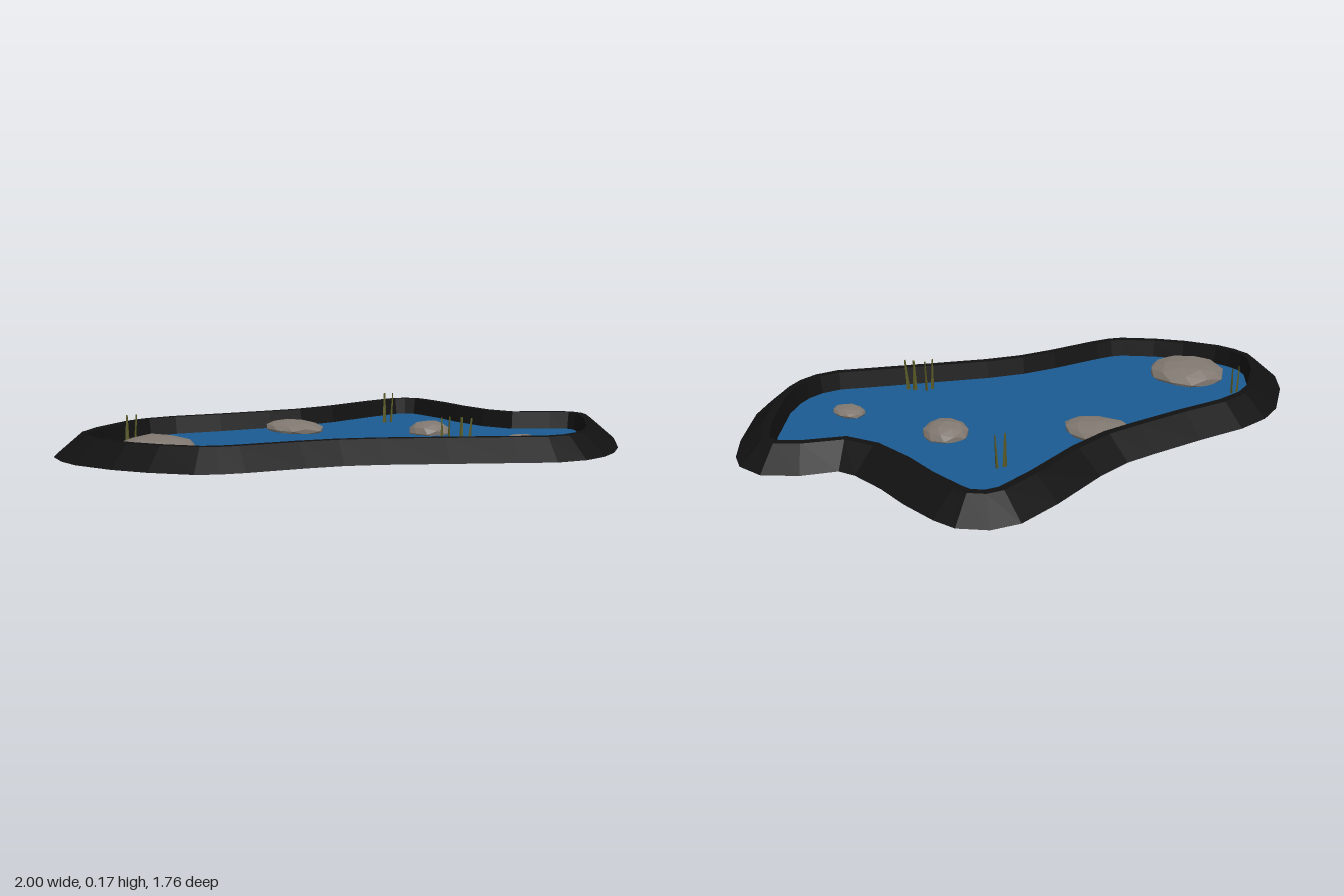
import * as THREE from 'three';

// Shoreline outline as x, z pairs
const OUTLINE = [
  -0.54, -0.88, -0.42, -0.88, -0.28, -0.84, -0.10, -0.75, 0.10, -0.66, 0.22, -0.61,
  0.37, -0.58, 0.62, -0.56, 0.80, -0.53, 0.89, -0.47, 0.94, -0.37, 0.935, -0.28,
  0.90, -0.13, 0.855, 0.0, 0.825, 0.14, 0.83, 0.21, 0.93, 0.30, 1.0, 0.42,
  0.99, 0.53, 0.94, 0.60, 0.83, 0.69, 0.62, 0.82, 0.50, 0.865, 0.40, 0.88,
  0.29, 0.865, 0.18, 0.81, 0.08, 0.71, -0.10, 0.53, -0.27, 0.36, -0.38, 0.27,
  -0.50, 0.20, -0.70, 0.10, -0.78, 0.05, -0.84, -0.01, -0.92, -0.16, -0.97, -0.30,
  -1.0, -0.47, -0.99, -0.57, -0.955, -0.67, -0.88, -0.75, -0.75, -0.82,
];
// Bank cross-section: [inset from shoreline, height]
const SECTION = [[0, 0.035], [0.095, 0.115], [0.125, 0.115], [0.14, 0.035]];
const WATER_Y = 0.045;

const outline = [];
for (let i = 0; i < OUTLINE.length; i += 2) outline.push(new THREE.Vector2(OUTLINE[i], OUTLINE[i + 1]));

// Move the outline inwards along its averaged normals
function inset(distance) {
  const n = outline.length;
  return outline.map((p, i) => {
    const a = p.clone().sub(outline[(i + n - 1) % n]).normalize();
    const b = outline[(i + 1) % n].clone().sub(p).normalize();
    const d = a.add(b).normalize();
    return new THREE.Vector2(p.x - d.y * distance, p.y + d.x * distance);
  });
}

function bankGeometry() {
  const rings = SECTION.map(([d]) => inset(d));
  const n = outline.length, m = SECTION.length;
  const positions = [], index = [];
  rings.forEach((ring, k) => ring.forEach((p) => positions.push(p.x, SECTION[k][1], p.y)));
  for (let k = 0; k < m; k++) {
    for (let i = 0; i < n; i++) {
      const j = (i + 1) % n, l = (k + 1) % m;
      const a = k * n + i, b = k * n + j, c = l * n + j, d = l * n + i;
      index.push(a, d, c, a, c, b);
    }
  }
  const g = new THREE.BufferGeometry();
  g.setAttribute('position', new THREE.Float32BufferAttribute(positions, 3));
  g.setIndex(index);
  g.computeVertexNormals();
  return g;
}

// Flattened faceted stone, roughened by a rule on the vertex direction
function rockGeometry(rx, ry, rz, seed) {
  const g = new THREE.IcosahedronGeometry(1, 1);
  const pos = g.attributes.position;
  const v = new THREE.Vector3();
  for (let i = 0; i < pos.count; i++) {
    v.fromBufferAttribute(pos, i);
    const r = 0.98 + 0.05 * Math.sin(v.x * 5 + seed) * Math.cos(v.z * 4 + v.y * 3 + seed * 2);
    pos.setXYZ(i, v.x * r * rx, v.y * r * ry, v.z * r * rz);
  }
  g.computeVertexNormals();
  return g;
}

export function createModel() {
  const model = new THREE.Group();
  const paint = (color, extra = {}) => new THREE.MeshStandardMaterial({ color, flatShading: true, ...extra });
  const add = (name, geometry, material, parent = model) => {
    const mesh = new THREE.Mesh(geometry, material);
    mesh.name = name;
    parent.add(mesh);
    return mesh;
  };

  // Sloped bank
  add('bank', bankGeometry(), paint(0x111111));

  // Water surface
  const shape = new THREE.Shape(inset(0.137).map((p) => new THREE.Vector2(p.x, -p.y)));
  const water = add('water', new THREE.ShapeGeometry(shape).rotateX(-Math.PI / 2),
    paint(0x1a5a90, { side: THREE.DoubleSide }));
  water.position.y = WATER_Y;

  // Rocks: x, y, z, then radii
  const stone = paint(0x807870);
  [
    [-0.67, 0.055, -0.43, 0.157, 0.055, 0.165],
    [0.065, 0.055, -0.41, 0.107, 0.036, 0.15],
    [0.385, 0.05, 0.07, 0.092, 0.048, 0.092],
    [0.435, 0.056, 0.50, 0.054, 0.021, 0.073],
  ].forEach(([x, y, z, rx, ry, rz], i) => {
    add('rock', rockGeometry(rx, ry, rz, i * 1.7), stone).position.set(x, y, z);
  });

  // Reed tufts: x, base height, z, turn; two leaning blades each
  const reed = paint(0x5a5a26);
  [
    [-0.59, 0.01, -0.68, 0.2],
    [0.06, 0.03, 0.39, 0.3],
    [0.10, 0.03, 0.45, -0.7],
    [0.51, 0.03, -0.26, 0],
  ].forEach(([x, y, z, turn]) => {
    const tuft = new THREE.Group();
    tuft.name = 'reedTuft';
    tuft.position.set(x, y, z);
    tuft.rotation.y = turn;
    [-1, 1].forEach((s) => {
      const blade = new THREE.CylinderGeometry(0.004, 0.01, 0.145, 4).scale(1, 1, 0.6).translate(0, 0.0725, 0);
      const mesh = add('reedBlade', blade, reed, tuft);
      mesh.position.set(s * 0.012, 0, s * 0.008);
      mesh.rotation.set(s * 0.04, s * 0.4, s > 0 ? -0.1 : -0.03);
    });
    model.add(tuft);
  });

  return model;
}
